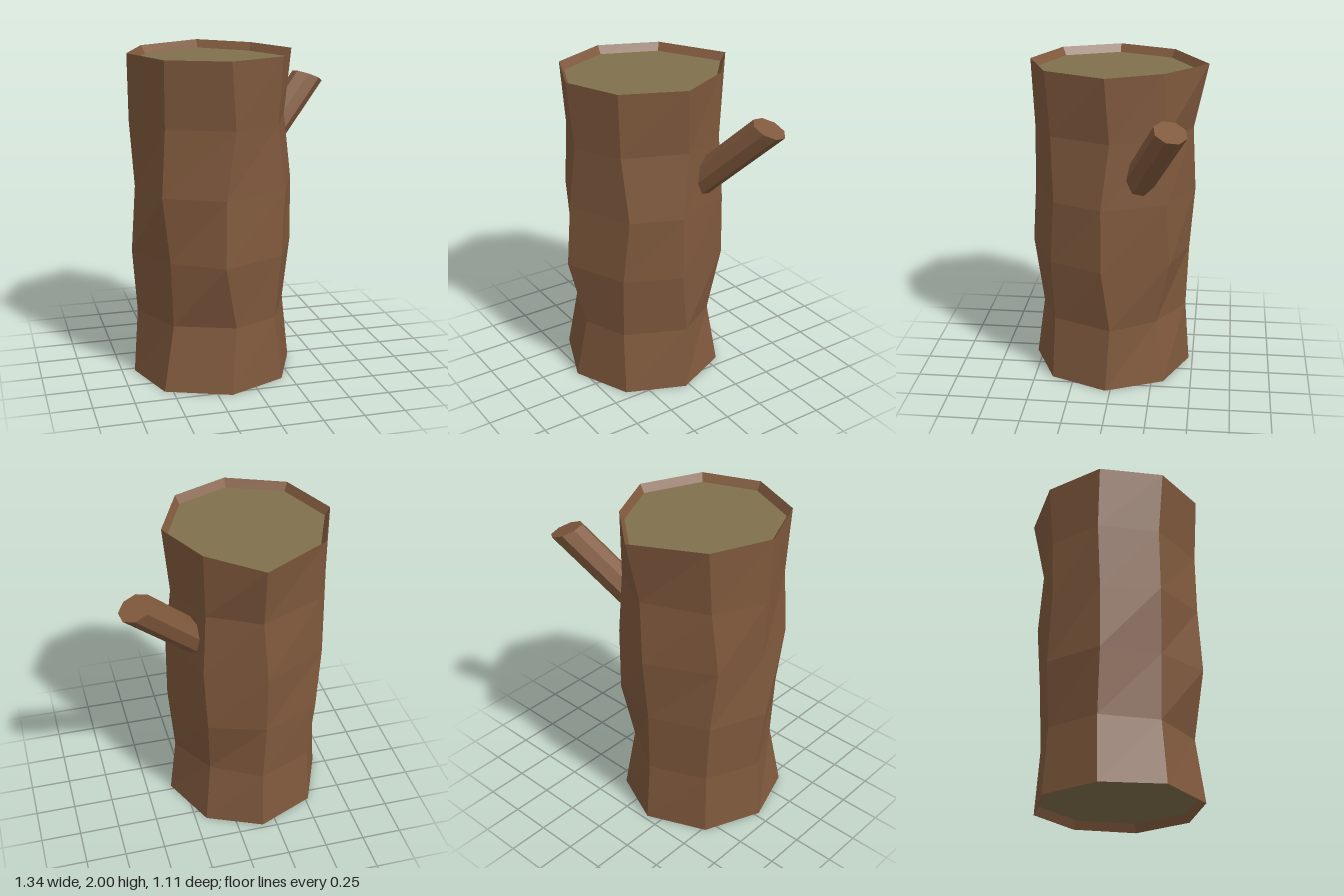
import * as THREE from 'three';

const bark = new THREE.MeshStandardMaterial({ color: 0x80593d, flatShading: true });
const wood = new THREE.MeshStandardMaterial({ color: 0x80704c, flatShading: true });

function makeMesh(name, triangles, material) {
  const geometry = new THREE.BufferGeometry().setFromPoints(triangles);
  geometry.computeVertexNormals();
  const mesh = new THREE.Mesh(geometry, material);
  mesh.name = name;
  return mesh;
}

// Side faces joining successive rings of points
function loft(rings) {
  const out = [];
  for (let r = 0; r < rings.length - 1; r++) {
    const lo = rings[r], hi = rings[r + 1], n = lo.length;
    for (let i = 0; i < n; i++) {
      const j = (i + 1) % n;
      out.push(lo[i], hi[i], lo[j], hi[i], hi[j], lo[j]);
    }
  }
  return out;
}

// Fan closing a ring, facing up or down
function cap(ring, up) {
  const out = [];
  const centre = ring.reduce((s, p) => s.add(p), new THREE.Vector3()).divideScalar(ring.length);
  ring.forEach((p, i) => {
    const q = ring[(i + 1) % ring.length];
    out.push(centre, up ? q : p, up ? p : q);
  });
  return out;
}

// The eight uneven trunk edges: x and z at six equally spaced heights, bottom to top
const edges = [
  { x: [0.34, 0.305, 0.335, 0.335, 0.305, 0.34], z: [0.03, 0.005, 0.055, 0.055, 0.005, 0.03] },
  { x: [0.19, 0.145, 0.18, 0.21, 0.155, 0.175], z: [0.385, 0.37, 0.385, 0.355, 0.375, 0.4] },
  { x: [-0.165, -0.125, -0.205, -0.195, -0.135, -0.165], z: [0.54, 0.48, 0.555, 0.53, 0.515, 0.54] },
  { x: [-0.55, -0.48, -0.495, -0.54, -0.515, -0.52], z: [0.39, 0.35, 0.36, 0.37, 0.36, 0.39] },
  { x: [-0.67, -0.64, -0.67, -0.64, -0.665, -0.67], z: [0.03, 0.02, 0.04, 0.03, 0.02, 0.03] },
  { x: [-0.52, -0.5, -0.53, -0.56, -0.52, -0.52], z: [-0.32, -0.3, -0.31, -0.28, -0.3, -0.33] },
  { x: [-0.16, -0.16, -0.17, -0.16, -0.13, -0.115], z: [-0.475, -0.445, -0.46, -0.49, -0.47, -0.555] },
  { x: [0.18, 0.14, 0.17, 0.19, 0.17, 0.18], z: [-0.325, -0.27, -0.35, -0.33, -0.31, -0.305] },
];

// Smaller copy of a ring, at the foot of an end recess
function inset(ring, y) {
  return ring.map((p) => new THREE.Vector3(
    -0.165 + (p.x + 0.165) * 0.94, y, 0.02 + (p.z - 0.02) * 0.94));
}

export function createModel() {
  const model = new THREE.Group();
  model.name = 'log';

  // Trunk with a bark lip around each sunken end
  const rings = [];
  for (let k = 0; k < 6; k++) {
    rings.push(edges.map((e) => new THREE.Vector3(e.x[k], k * 0.4, e.z[k])));
  }
  const bottom = inset(rings[0], 0.05);
  const top = inset(rings[5], 1.95);
  model.add(makeMesh('trunk', loft([bottom, ...rings, top]), bark));
  model.add(makeMesh('topCutFace', cap(top, true), wood));
  model.add(makeMesh('bottomCutFace', cap(bottom, false), wood));

  // Slanting branch stub with an oblique end
  const tip = [];
  for (let i = 0; i < 8; i++) {
    const a = (i / 8) * Math.PI * 2 + 0.22;
    const dx = 0.097 * Math.cos(a), dz = 0.097 * Math.sin(a);
    tip.push(new THREE.Vector3(0.577 + dx, 1.765 - 0.38 * dx + 0.2 * dz, -0.363 + dz));
  }
  const root = tip.map((p) => p.clone().add(new THREE.Vector3(-0.42, -0.45, 0.22)));
  model.add(makeMesh('branch', [...loft([root, tip]), ...cap(tip, true), ...cap(root, false)], bark));

  return model;
}
